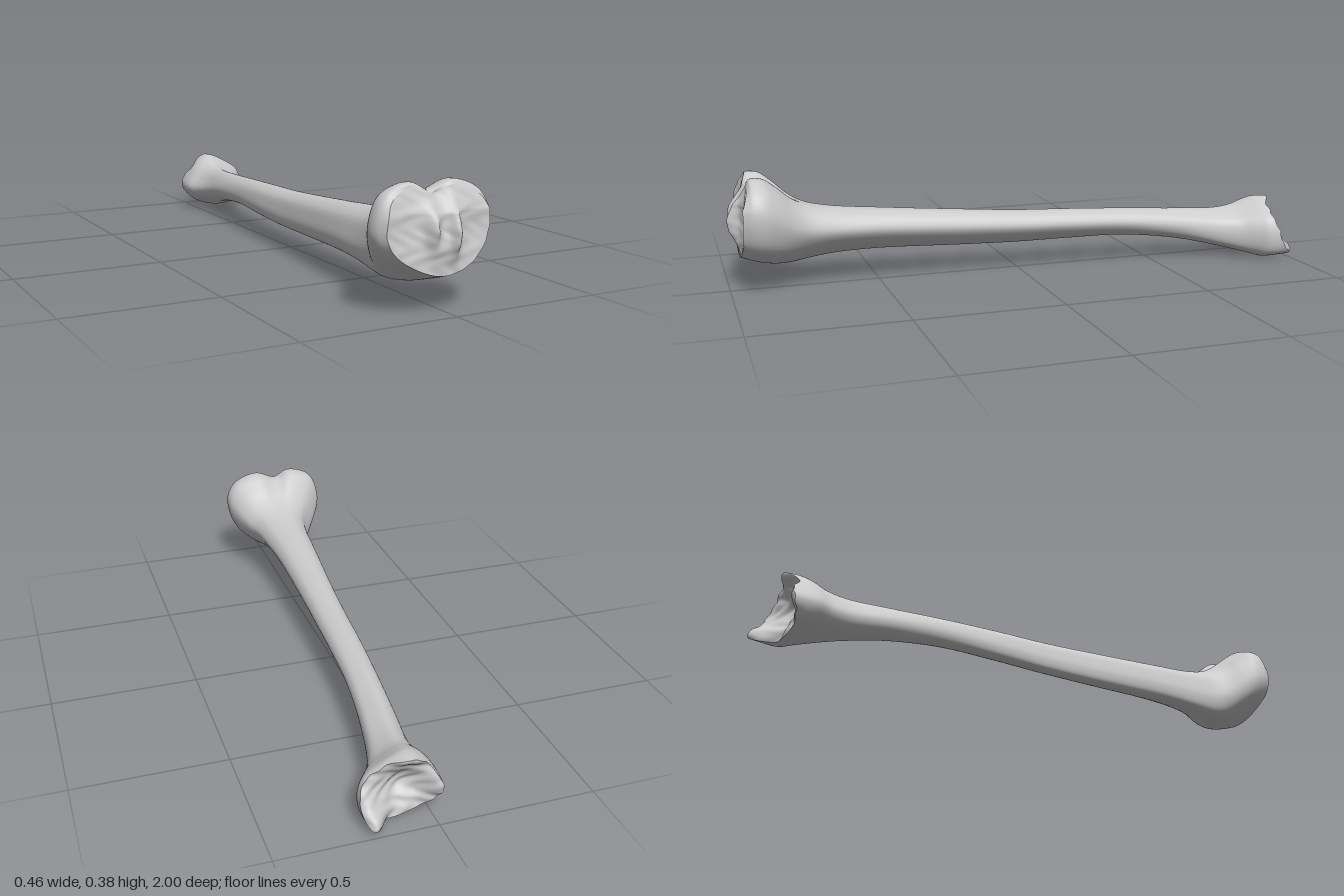
import * as THREE from 'three';

// Outlines in a unit box, counter-clockwise from the right, 12 matching points each
const PLATEAU = [[.99, .66], [.9, .88], [.67, .99], [.47, .9], [.32, .99], [.09, .88], [.01, .55], [.06, .34], [.22, .16], [.52, .01], [.75, .07], [.93, .28]];
const SHAFT = [[1, .6], [.9, .85], [.7, .97], [.5, 1], [.3, .97], [.12, .82], [.03, .55], [0, .3], [.06, .08], [.24, 0], [.52, .1], [.85, .34]];
const ANKLE = [[1, .4], [.94, .67], [.74, .85], [.43, 1], [.25, .9], [.09, .67], [0, .42], [.08, .22], [.28, .08], [.5, .01], [.77, .02], [.94, .13]];

// Sections: z, left, right, bottom, top, share of plateau outline, share of ankle outline
const SECTIONS = [
  [.955, -.215, .14, .115, .375, 1, 0],
  [.925, -.232, .157, .102, .386, 1, 0],
  [.885, -.232, .157, .09, .385, .95, 0],
  [.84, -.205, .138, .079, .355, .75, 0],
  [.79, -.165, .108, .075, .312, .4, 0],
  [.74, -.138, .082, .08, .285, .15, 0],
  [.65, -.12, .066, .092, .265, 0, 0],
  [.5, -.105, .056, .099, .25, 0, 0],
  [.2, -.077, .055, .093, .226, 0, 0],
  [0, -.062, .06, .09, .212, 0, 0],
  [-.2, -.049, .068, .093, .205, 0, .1],
  [-.4, -.032, .08, .095, .197, 0, .3],
  [-.6, -.016, .105, .075, .187, 0, .6],
  [-.75, -.006, .135, .045, .183, 0, .9],
  [-.82, -.017, .165, .028, .192, 0, 1],
  [-.87, -.034, .2, .015, .21, 0, 1],
  [-.905, -.036, .222, .006, .221, 0, 1],
  [-.93, -.03, .225, .008, .22, 0, 1],
];
const AROUND = 96;

const bump = (x, y, cx, cy, rx, ry) => Math.exp(-(((x - cx) / rx) ** 2) - ((y - cy) / ry) ** 2);
const rough = (x, y) => .003 * Math.sin(x * 71 + 2 * Math.sin(y * 53)) * Math.sin(y * 83 + x * 29);

// Knee end: two shallow dishes, a pair of central spines and a notch at the back
function kneeZ(x, y) {
  return .963 - .4 * Math.max(0, y - .3) + rough(x, y) * .6
    - .014 * bump(x, y, -.14, .28, .06, .08) - .014 * bump(x, y, .085, .26, .05, .08)
    + .032 * bump(x, y, -.065, .26, .02, .05) + .036 * bump(x, y, .008, .25, .016, .06)
    - .018 * bump(x, y, -.03, .35, .03, .03) + .012 * bump(x, y, -.02, .2, .05, .04);
}

// Ankle end: a hollow joint with an inner prong, a rear lip and a side lobe
function ankleZ(x, y) {
  return -.925 + rough(x, y) * 1.5
    - .078 * bump(x, y, .19, .035, .04, .045) - .03 * bump(x, y, .07, .215, .06, .03)
    - .035 * bump(x, y, -.02, .11, .035, .06) - .02 * bump(x, y, .215, .1, .03, .04)
    + .035 * bump(x, y, .09, .11, .06, .05);
}

// Smooth closed ring of points for one section
function sectionRing([z, x0, x1, y0, y1, p, a]) {
  const pts = SHAFT.map(([sx, sy], i) => {
    const u = sx * (1 - p - a) + PLATEAU[i][0] * p + ANKLE[i][0] * a;
    const v = sy * (1 - p - a) + PLATEAU[i][1] * p + ANKLE[i][1] * a;
    return new THREE.Vector3(x0 + (x1 - x0) * u, y0 + (y1 - y0) * v, z);
  });
  return new THREE.CatmullRomCurve3(pts, true).getPoints(AROUND).slice(0, AROUND);
}

// Skin a list of rings ordered from front to back
function skin(rings, name) {
  const pos = [], idx = [];
  rings.forEach(r => r.forEach(p => pos.push(p.x, p.y, p.z)));
  for (let i = 0; i < rings.length - 1; i++) {
    for (let j = 0; j < AROUND; j++) {
      const k = (j + 1) % AROUND;
      const a = i * AROUND + j, b = i * AROUND + k;
      const d = a + AROUND, c = b + AROUND;
      idx.push(a, d, b, b, d, c);
    }
  }
  const geo = new THREE.BufferGeometry();
  geo.setAttribute('position', new THREE.Float32BufferAttribute(pos, 3));
  geo.setIndex(idx);
  geo.computeVertexNormals();
  const mesh = new THREE.Mesh(geo, new THREE.MeshStandardMaterial({ color: 0xcccccc, roughness: .8 }));
  mesh.name = name;
  return mesh;
}

// Joint surface: rings growing from the centre to the rim, raised by a height rule
function capRings(rim, height) {
  const c = rim.reduce((s, p) => s.add(p), new THREE.Vector3()).divideScalar(rim.length);
  return Array.from({ length: 29 }, (_, i) => rim.map(p => {
    const q = c.clone().lerp(p, Math.max(i / 28, .001));
    q.z = height(q.x, q.y);
    return q;
  }));
}

export function createModel() {
  const rings = SECTIONS.map(sectionRing);
  const kneeRim = rings[0], ankleRim = rings[rings.length - 1];
  kneeRim.forEach(p => { p.z = kneeZ(p.x, p.y); });
  ankleRim.forEach(p => { p.z = ankleZ(p.x, p.y); });

  // Body: smooth lengthwise curves through all sections
  const steps = (SECTIONS.length - 1) * 6;
  const lines = kneeRim.map((_, j) => new THREE.CatmullRomCurve3(rings.map(r => r[j])));
  const body = Array.from({ length: steps + 1 }, (_, i) => lines.map(l => l.getPoint(i / steps)));

  const group = new THREE.Group();
  group.name = 'shinBone';
  group.add(
    skin(body, 'shaft'),
    skin(capRings(kneeRim, kneeZ), 'kneeJointSurface'),
    skin(capRings(ankleRim, ankleZ).reverse(), 'ankleJointSurface'),
  );
  return group;
}
